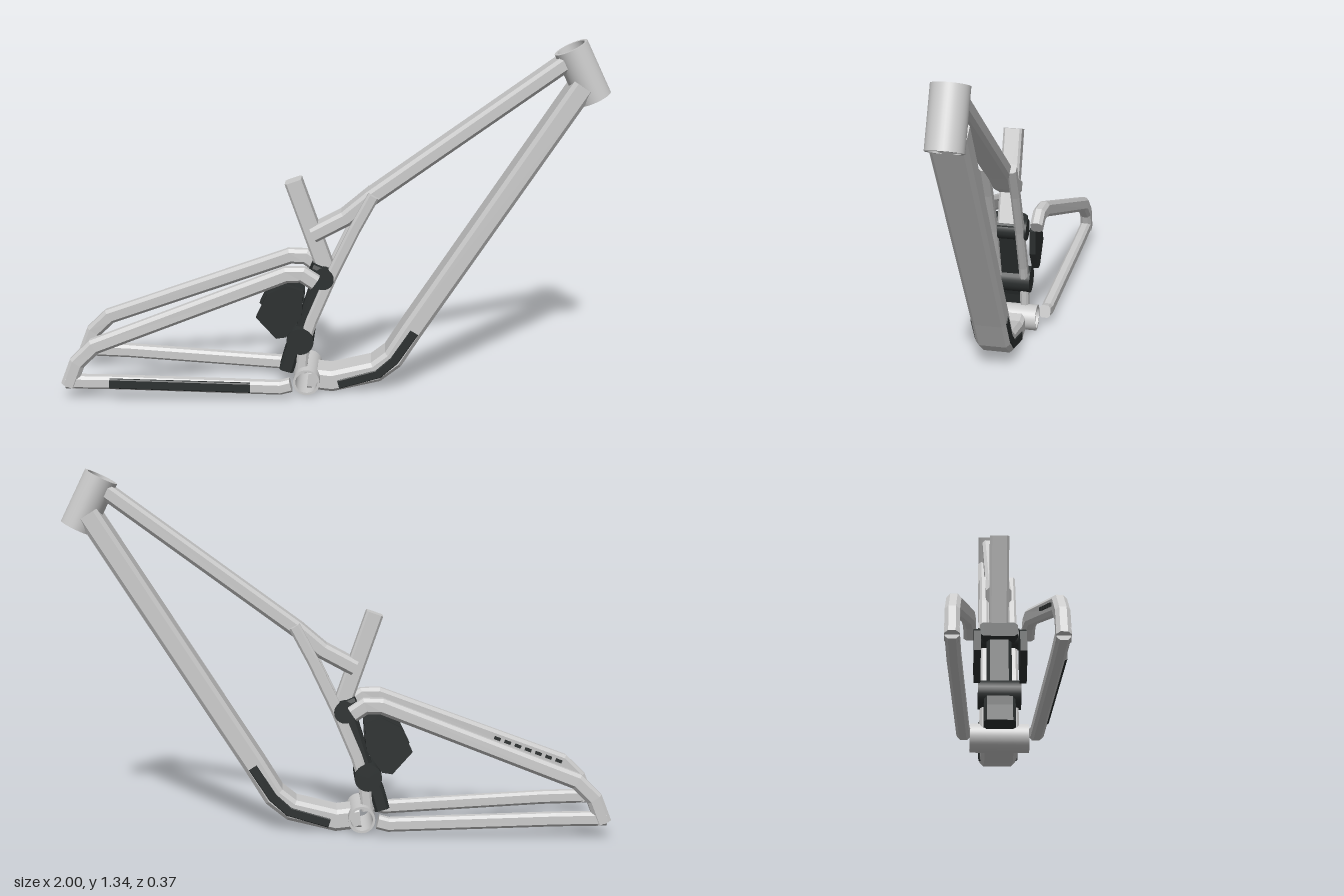
import * as THREE from 'three';

const GREY = new THREE.MeshStandardMaterial({ color: 0xcccccc });
const GREY_OPEN = new THREE.MeshStandardMaterial({ color: 0xcccccc, side: THREE.DoubleSide });
const DARK = new THREE.MeshStandardMaterial({ color: 0x2c3030 });

// Sweeps a chamfered rectangle (h in the xy plane, w along z) along [x, y, z] points, mitring each bend.
function beamGeometry(path, h, w, chamfer) {
  const a = h / 2, b = w / 2, c = chamfer;
  const section = [[a, -b + c], [a, b - c], [a - c, b], [-a + c, b],
    [-a, b - c], [-a, -b + c], [-a + c, -b], [a - c, -b]];
  const dirs = path.slice(1).map((p, i) => new THREE.Vector2(p[0] - path[i][0], p[1] - path[i][1]).normalize());
  const rings = path.map(([x, y, z = 0], i) => {
    const d0 = dirs[Math.max(i - 1, 0)], d1 = dirs[Math.min(i, dirs.length - 1)];
    const t = d0.clone().add(d1).normalize();
    const k = 1 / t.dot(d0);
    return section.map(([n, s]) => [x - t.y * n * k, y + t.x * n * k, z + s]);
  });
  const pos = [];
  const tri = (...corners) => corners.forEach(p => pos.push(...p));
  const N = section.length;
  for (let i = 0; i < rings.length - 1; i++) {
    for (let j = 0; j < N; j++) {
      const k = (j + 1) % N, A = rings[i], B = rings[i + 1];
      tri(A[j], A[k], B[k]);
      tri(A[j], B[k], B[j]);
    }
  }
  const first = rings[0], last = rings[rings.length - 1];
  for (let j = 1; j < N - 1; j++) {
    tri(first[0], first[j + 1], first[j]);
    tri(last[0], last[j], last[j + 1]);
  }
  const g = new THREE.BufferGeometry();
  g.setAttribute('position', new THREE.Float32BufferAttribute(pos, 3));
  g.computeVertexNormals();
  return g;
}

// Hollow round shell, axis along y.
function shellGeometry(outer, inner, length) {
  const l = length / 2;
  const pts = [[inner, -l], [outer, -l], [outer, -l], [outer, l], [outer, l], [inner, l], [inner, l], [inner, -l]];
  return new THREE.LatheGeometry(pts.map(p => new THREE.Vector2(...p)), 40);
}

export function createModel() {
  const group = new THREE.Group();
  const add = (name, geometry, material = GREY) => {
    const mesh = new THREE.Mesh(geometry, material);
    mesh.name = name;
    group.add(mesh);
    return mesh;
  };
  const beam = (name, path, h, w, c, material) => add(name, beamGeometry(path, h, w, c), material);
  const pin = (name, x, y, r, length) => {
    const m = add(name, new THREE.CylinderGeometry(r, r, length, 24), DARK);
    m.rotation.x = Math.PI / 2;
    m.position.set(x, y, 0);
  };
  const atZ = (path, z) => path.map(([x, y]) => [x, y, z]);

  // Head tube, tilted back
  const head = add('headTube', shellGeometry(0.063, 0.052, 0.207), GREY_OPEN);
  head.position.set(0.892, 1.221, 0);
  head.rotation.z = Math.atan2(0.091, 0.185);

  // Main tubes
  beam('downTube', [[0.893, 1.18], [0.3, 0.25], [0.23, 0.135], [0.165, 0.083], [0.0, 0.042], [-0.09, 0.052]], 0.08, 0.128, 0.014);
  beam('topTube', [[0.83, 1.262], [0.14, 0.755], [0.05, 0.678], [-0.07, 0.613]], 0.058, 0.092, 0.012);
  beam('seatTube', [[-0.143, 0.815], [-0.025, 0.48]], 0.064, 0.07, 0.008);

  // Bottom bracket shell, axis along z
  const bracket = add('bottomBracket', shellGeometry(0.05, 0.041, 0.206), GREY_OPEN);
  bracket.rotation.x = Math.PI / 2;
  bracket.position.set(-0.093, 0.057, 0);

  // Suspension: rocker, shock, lower link
  beam('rocker', [[-0.08, 0.475], [-0.01, 0.445]], 0.07, 0.136, 0.012, DARK);
  pin('rockerPivot', -0.032, 0.455, 0.04, 0.15);
  beam('shock', [[-0.045, 0.45], [-0.12, 0.21]], 0.052, 0.09, 0.012, DARK);
  pin('lowerPivot', -0.118, 0.208, 0.051, 0.15);
  beam('lowerLink', [[-0.125, 0.21], [-0.155, 0.14], [-0.172, 0.08]], 0.055, 0.11, 0.01, DARK);

  const plate = new THREE.Shape([[-0.28, 0.31], [-0.238, 0.4], [-0.168, 0.436], [-0.104, 0.415],
    [-0.11, 0.318], [-0.168, 0.233], [-0.206, 0.227]].map(p => new THREE.Vector2(...p)));

  for (const s of [1, -1]) {
    const side = s > 0 ? 'Front' : 'Back';
    // Twin struts from top tube to bottom bracket
    beam('strut' + side, atZ([[0.152, 0.772], [0.085, 0.645], [0.0, 0.465], [-0.075, 0.285], [-0.105, 0.19], [-0.115, 0.08]], s * 0.051), 0.043, 0.032, 0.008);

    // Rear stays, splaying outward towards the axle
    beam('chainStay' + side, [[-0.985, 0.075, s * 0.164], [-0.8, 0.072, s * 0.158], [-0.19, 0.047, s * 0.126], [-0.15, 0.057, s * 0.123]], 0.05, 0.044, 0.01);
    beam('seatStay' + side, [[-0.975, 0.06, s * 0.164], [-0.94, 0.15, s * 0.164], [-0.875, 0.214, s * 0.16],
      [-0.165, 0.487, s * 0.112], [-0.105, 0.487, s * 0.106], [-0.058, 0.455, s * 0.104]], 0.058, 0.046, 0.012);

    // Linkage side plate
    const g = new THREE.ExtrudeGeometry(plate, { depth: 0.024, bevelEnabled: false });
    add('linkPlate' + side, g, DARK).position.z = s * 0.08 - 0.012;

    // Guard strip on the lower bend of the down tube
    beam('downTubeGuard' + side, atZ([[0.025, 0.035], [0.175, 0.08], [0.235, 0.135], [0.308, 0.248]], s * 0.063), 0.034, 0.01, 0.003, DARK);
  }

  // Chain-side guard and ribs, on one side only
  beam('chainStayGuard', [[-0.82, 0.074, 0.177], [-0.3, 0.054, 0.15]], 0.038, 0.018, 0.004, DARK);
  for (let i = 0; i < 7; i++) {
    const rib = add('guardRib', new THREE.BoxGeometry(0.025, 0.012, 0.016), DARK);
    rib.position.set(-0.86 + i * 0.04, 0.22 + i * 0.0154, 0.138 - i * 0.0027);
    rib.rotation.z = 0.37;
  }
  return group;
}
